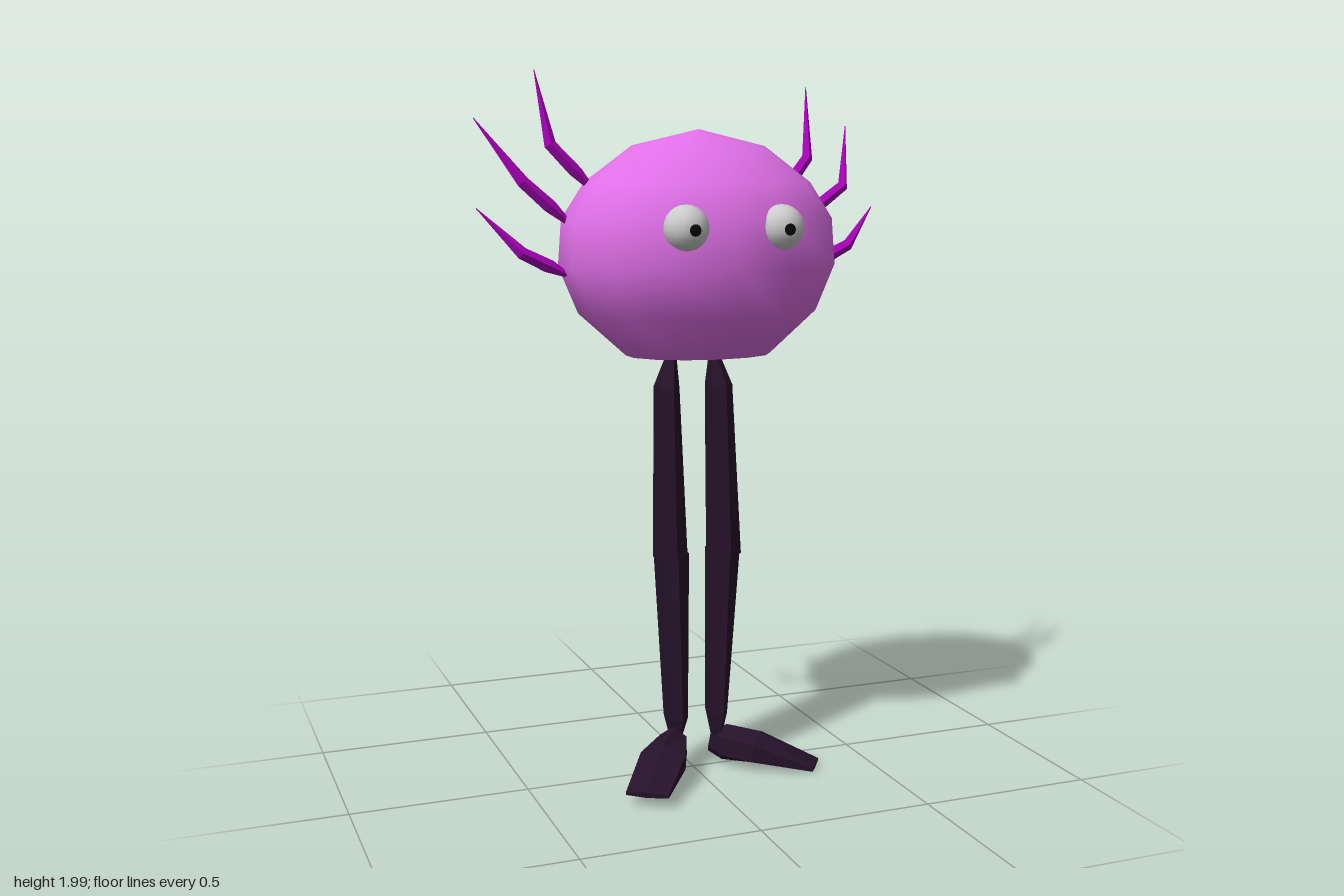
import * as THREE from 'three';

const mat = (color, flatShading = false) => new THREE.MeshStandardMaterial({ color, flatShading });
const V = (p) => new THREE.Vector3(p[0], p[1], p[2]);

// Closed tapered limb: stations [x, y, z, across, deep], 'deep' runs along the side axis
function loft(stations, side, sides, phase = 0) {
  const t = V(stations.at(-1)).sub(V(stations[0])).normalize();
  const u = V(side).cross(t).normalize();
  const v = t.clone().cross(u);
  const pos = [], index = [];
  for (const s of stations) {
    for (let j = 0; j < sides; j++) {
      const a = ((j + phase) / sides) * Math.PI * 2;
      const p = V(s).addScaledVector(u, s[3] * Math.cos(a)).addScaledVector(v, s[4] * Math.sin(a));
      pos.push(p.x, p.y, p.z);
    }
  }
  const n = stations.length, first = n * sides, last = first + 1;
  pos.push(...stations[0].slice(0, 3), ...stations[n - 1].slice(0, 3));
  for (let j = 0; j < sides; j++) {
    const k = (j + 1) % sides;
    for (let i = 0; i < n - 1; i++) {
      const a = i * sides, b = a + sides;
      index.push(a + j, a + k, b + k, a + j, b + k, b + j);
    }
    const e = (n - 1) * sides;
    index.push(first, k, j, last, e + j, e + k);
  }
  const g = new THREE.BufferGeometry();
  g.setAttribute('position', new THREE.Float32BufferAttribute(pos, 3));
  g.setIndex(index);
  g.computeVertexNormals();
  return g;
}

export function createModel() {
  const model = new THREE.Group();
  const add = (name, geometry, material) => {
    const m = new THREE.Mesh(geometry, material);
    m.name = name;
    model.add(m);
    return m;
  };
  const pink = mat(0xe070e8), purple = mat(0xa800b8, true), dark = mat(0x26122a, true);
  const grey = mat(0xcccccc), black = mat(0x080808);

  // Round body, flattened front to back
  const profile = [[0, 1.215], [0.21, 1.22], [0.345, 1.34], [0.4, 1.47], [0.39, 1.6],
    [0.325, 1.7], [0.19, 1.8], [0, 1.845]].map(([r, y]) => new THREE.Vector2(r, y));
  const body = add('body', new THREE.LatheGeometry(profile, 14), pink);
  body.scale.z = 0.75;
  body.position.set(0.02, 0, -0.01);

  // Eyes with pupils
  for (const [x, px, name] of [[-0.115, -0.111, 'right'], [0.158, 0.157, 'left']]) {
    add(name + 'Eye', new THREE.SphereGeometry(0.062, 16, 12), grey).position.set(x, 1.58, 0.246);
    const pupil = add(name + 'Pupil', new THREE.SphereGeometry(0.016, 12, 8), black);
    pupil.position.set(px, 1.576, 0.306);
    pupil.scale.z = 0.4;
  }

  // Bent spikes on each side: base, bend, tip
  const spikes = [
    [[-0.28, 1.68, -0.04], [-0.395, 1.8, -0.05], [-0.425, 2.0, -0.095]],
    [[-0.35, 1.59, -0.035], [-0.475, 1.7, -0.04], [-0.595, 1.87, -0.095]],
    [[-0.36, 1.45, -0.025], [-0.485, 1.51, -0.02], [-0.6, 1.63, -0.06]],
    [[0.3, 1.67, -0.06], [0.38, 1.77, -0.07], [0.41, 1.975, -0.15]],
    [[0.36, 1.6, -0.045], [0.49, 1.69, -0.06], [0.535, 1.865, -0.14]],
    [[0.39, 1.47, -0.025], [0.5, 1.52, -0.04], [0.595, 1.63, -0.08]],
  ];
  for (const [base, bend, tip] of spikes) {
    const low = base.map((c, i) => c * 0.6 + bend[i] * 0.4);
    add('spike', loft([[...base, 0.008, 0.008], [...low, 0.019, 0.015],
      [...bend, 0.017, 0.014], [...tip, 0.001, 0.001]], [0, 0, 1], 4), purple);
  }

  // Legs: thigh and shin, with faceted ends
  const limb = (rows) => loft(rows.map(([x, y, w, d]) => [x, y, -0.02, w, d]), [0, 0, 1], 6, 0.5);
  add('rightThigh', limb([[-0.063, 0.635, 0.049, 0.06], [-0.073, 1.13, 0.032, 0.06],
    [-0.058, 1.225, 0.012, 0.02]]), dark);
  add('leftThigh', limb([[0.102, 0.635, 0.049, 0.06], [0.085, 1.13, 0.035, 0.06],
    [0.07, 1.225, 0.012, 0.02]]), dark);
  add('rightShin', limb([[-0.048, 0.09, 0.014, 0.03], [-0.047, 0.16, 0.031, 0.06],
    [-0.06, 0.65, 0.05, 0.06]]), dark);
  add('leftShin', limb([[0.08, 0.09, 0.014, 0.03], [0.08, 0.16, 0.026, 0.06],
    [0.098, 0.65, 0.049, 0.06]]), dark);

  // Feet turned outwards, wedge shaped towards the toes
  add('rightFoot', loft([[-0.038, 0.07, -0.04, 0.035, 0.012], [-0.065, 0.085, 0.01, 0.055, 0.045],
    [-0.13, 0.075, 0.1, 0.042, 0.075], [-0.23, 0.042, 0.248, 0.008, 0.07]],
  [0.81, 0, 0.58], 6), dark);
  add('leftFoot', loft([[0.07, 0.07, -0.04, 0.04, 0.015], [0.1, 0.068, 0.0, 0.055, 0.05],
    [0.18, 0.06, 0.055, 0.05, 0.075], [0.33, 0.014, 0.14, 0.008, 0.055]],
  [-0.52, 0, 0.85], 6), dark);

  return model;
}
